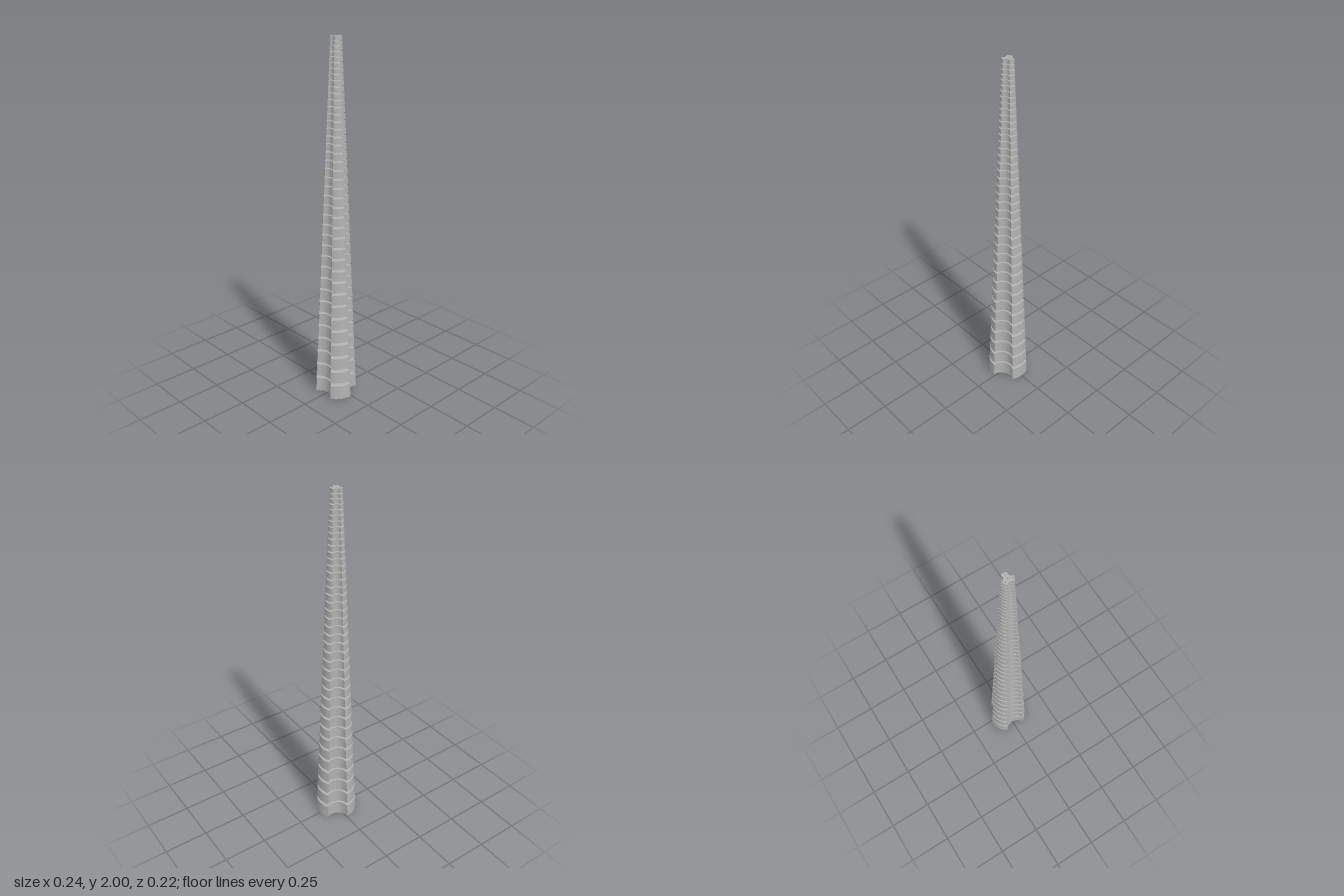
import * as THREE from 'three';
import { toCreasedNormals } from 'three/addons/utils/BufferGeometryUtils.js';

const COUNT = 40;              // stacked segments
const HEIGHT = 2;
const BASE_R = 0.118, TIP_R = 0.03;
const SLOPE = 0.1;             // cone slope of the gaps between segments
const BORE = 0.004;            // central through hole
const PLATE = 0.01;            // drilled end plates
const STEPS = 10;              // points per arc

const APEX = HEIGHT / (1 - TIP_R / BASE_R);   // height where the taper would close
const radiusAt = (y) => BASE_R * (1 - y / APEX);

// Three-lobed unit outline: concave arcs alternating with arcs of the unit circle
function makeOutline() {
  const points = [];
  const d = 2 / Math.sqrt(3), c = 1 / Math.sqrt(3);
  for (let k = 0; k < 3; k++) {
    const turn = (k * 2 * Math.PI) / 3;
    const add = (x, z) => points.push(new THREE.Vector2(
      x * Math.cos(turn) + z * Math.sin(turn),
      z * Math.cos(turn) - x * Math.sin(turn)));
    for (let i = 0; i < STEPS; i++) {
      const a = (i / STEPS * 2 - 1) * Math.PI / 3;
      add(c * Math.sin(a), d - c * Math.cos(a));
    }
    for (let i = 0; i < STEPS; i++) {
      const a = Math.PI / 6 + (i / STEPS) * Math.PI / 3;
      add(Math.sin(a), Math.cos(a));
    }
  }
  return points;
}

// One segment: lobed wall, conical top and bottom, small touching core, central bore
function segmentGeometry(outline, y0, y1, flatBottom, flatTop) {
  const n = outline.length;
  const core = 0.16 * radiusAt((y0 + y1) / 2);
  const rings = [[], [], [], [], [], []];
  for (const p of outline) {
    const len = p.length();
    const edge = (y, dir) => {
      const yy = y + dir * SLOPE * Math.max(0, len * radiusAt(y) - core);
      return [p.x * radiusAt(yy), yy, p.y * radiusAt(yy)];
    };
    const round = (r, y) => [p.x / len * r, y, p.y / len * r];
    rings[0].push(round(BORE, y0));
    rings[1].push(round(core, y0));
    rings[2].push(edge(y0, flatBottom ? 0 : 1));
    rings[3].push(edge(y1, flatTop ? 0 : -1));
    rings[4].push(round(core, y1));
    rings[5].push(round(BORE, y1));
  }
  const index = [];
  for (let r = 0; r < 6; r++) {
    const s = (r + 1) % 6;
    for (let j = 0; j < n; j++) {
      const k = (j + 1) % n;
      index.push(r * n + j, r * n + k, s * n + k, r * n + j, s * n + k, s * n + j);
    }
  }
  const g = new THREE.BufferGeometry();
  g.setAttribute('position', new THREE.Float32BufferAttribute(rings.flat(2), 3));
  g.setIndex(index);
  return toCreasedNormals(g, 0.5);
}

// Flat end plate with the central bore and one cable hole per lobe
function plateGeometry(outline, radius) {
  const shape = new THREE.Shape(outline.map((p) => new THREE.Vector2(p.x * radius, -p.y * radius)));
  const hole = (x, y) => shape.holes.push(new THREE.Path().absarc(x, y, BORE, 0, Math.PI * 2, true));
  hole(0, 0);
  for (let k = 0; k < 3; k++) {
    const a = Math.PI / 2 + (k * 2 * Math.PI) / 3;
    hole(0.67 * radius * Math.cos(a), 0.67 * radius * Math.sin(a));
  }
  const g = new THREE.ExtrudeGeometry(shape, { depth: PLATE, bevelEnabled: false, curveSegments: 10 });
  g.rotateX(-Math.PI / 2);
  return toCreasedNormals(g, 0.5);
}

export function createModel() {
  const model = new THREE.Group();
  model.name = 'taperedSegmentedArm';
  const grey = new THREE.MeshStandardMaterial({ color: 0xb0b0b0 });
  grey.name = 'grey';
  const outline = makeOutline();

  const arm = new THREE.Group();
  arm.name = 'arm';
  arm.position.z = BASE_R * (1 - Math.cos(Math.PI / 6)) / 2;
  model.add(arm);

  const add = (name, geometry, y = 0) => {
    const mesh = new THREE.Mesh(geometry, grey);
    mesh.name = name;
    mesh.position.y = y;
    arm.add(mesh);
  };

  // Segments shrink in proportion to the taper
  const ratio = Math.pow(TIP_R / BASE_R, 1 / COUNT);
  const joint = (i) => APEX * (1 - Math.pow(ratio, i));
  for (let i = 0; i < COUNT; i++) {
    const first = i === 0, last = i === COUNT - 1;
    const y0 = first ? PLATE : joint(i);
    const y1 = last ? HEIGHT - PLATE : joint(i + 1);
    add('segment' + (i + 1), segmentGeometry(outline, y0, y1, first, last));
  }

  add('basePlate', plateGeometry(outline, BASE_R));
  add('tipPlate', plateGeometry(outline, TIP_R), HEIGHT - PLATE);
  return model;
}
